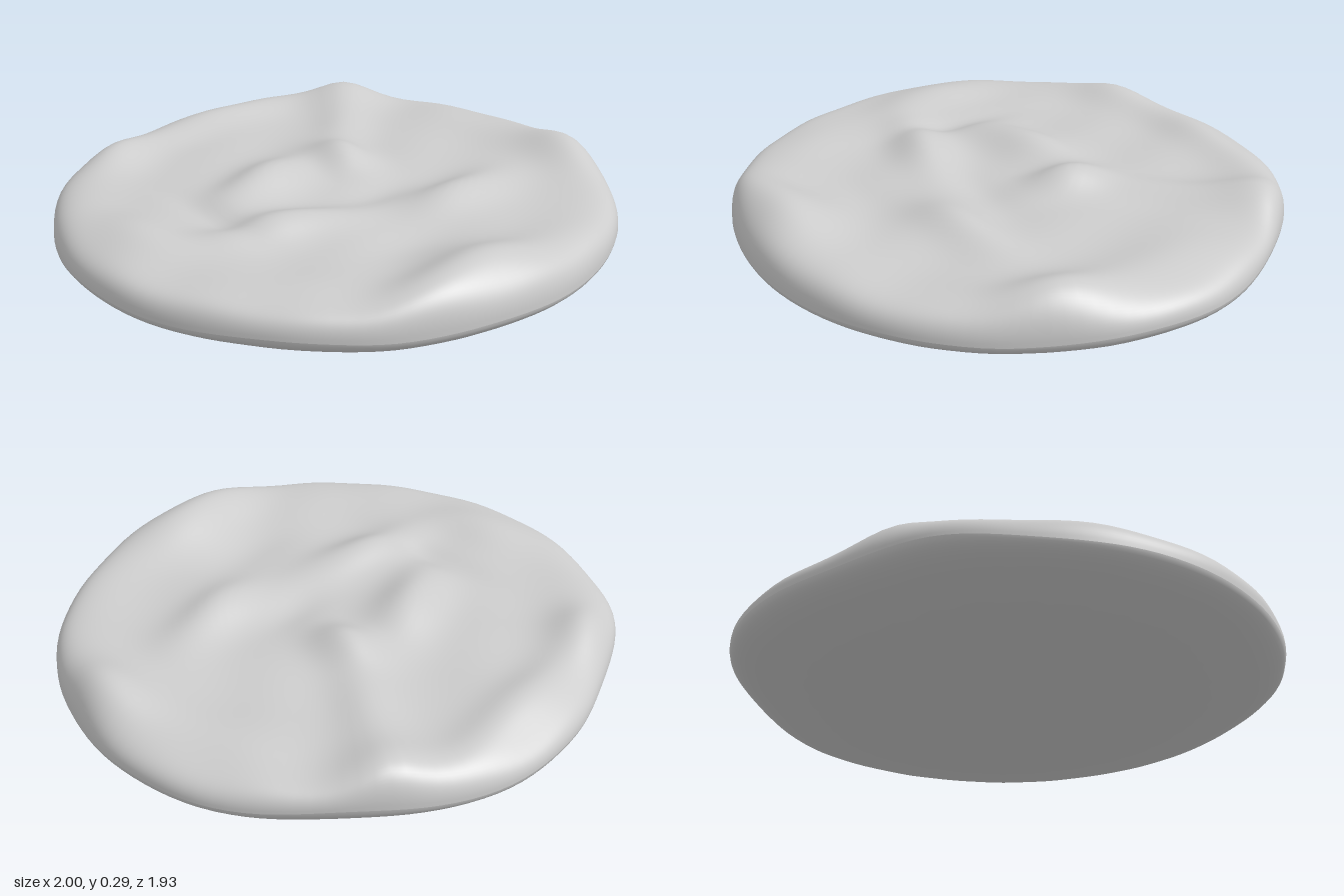
import * as THREE from 'three';

const SEGMENTS = 120;

// Slightly irregular round outline, as x, z points
const outline = new THREE.CatmullRomCurve3([
  [1, -0.03], [0.965, 0.26], [0.83, 0.53], [0.71, 0.68], [0.55, 0.81], [0.3, 0.92], [-0.02, 0.965],
  [-0.31, 0.915], [-0.56, 0.8], [-0.7, 0.68], [-0.82, 0.53], [-0.957, 0.24], [-1, -0.03],
  [-0.945, -0.35], [-0.8, -0.61], [-0.6, -0.81], [-0.235, -0.93], [0.06, -0.97], [0.35, -0.92],
  [0.62, -0.75], [0.81, -0.53], [0.95, -0.27],
].map(([x, z]) => new THREE.Vector3(x, 0, z)), true);

// Mounds and hollows: x, z, length, width, turn, height
const bumps = [
  [0.1, -0.8, 0.36, 0.1, 0.05, 0.045],     // back ridge
  [-0.4, -0.78, 0.15, 0.11, -0.35, 0.05],
  [0.66, -0.64, 0.16, 0.16, 0.78, 0.065],  // raised back corner
  [0.8, -0.1, 0.13, 0.25, 0, 0.02],        // left side ridge
  [0.8, 0.38, 0.14, 0.2, 0.4, 0.08],
  [0.42, -0.4, 0.3, 0.09, -0.78, 0.025],   // diagonal fold
  [-0.2, -0.2, 0.24, 0.11, -0.25, 0.065],  // middle mounds
  [0.16, -0.14, 0.1, 0.14, 0.2, 0.07],
  [-0.38, 0.12, 0.28, 0.1, 0.35, 0.055],
  [0.22, 0.35, 0.22, 0.1, -0.05, 0.055],
  [-0.2, 0.8, 0.32, 0.14, 0.05, 0.08],     // front ridge
  [-0.76, -0.2, 0.13, 0.25, 0, 0.035],     // right side ridge
  [-0.7, 0.42, 0.12, 0.2, -0.5, 0.015],
  [0.05, 0.14, 0.14, 0.08, 0, -0.02],      // hollows
  [-0.5, -0.08, 0.06, 0.22, 0.1, -0.02],
  [-0.16, 0.5, 0.2, 0.1, 0.3, -0.012],
];

function surfaceHeight(x, z) {
  let y = 0.216;
  for (const [bx, bz, length, width, turn, height] of bumps) {
    const dx = x - bx, dz = z - bz, c = Math.cos(turn), s = Math.sin(turn);
    const u = (dx * c + dz * s) / length, v = (dz * c - dx * s) / width;
    y += height * Math.exp(-u * u - v * v);
  }
  return y + 0.006 * Math.sin(13 * x + 5 * z) * Math.sin(11 * z - 4 * x);
}

// How near an angle is to the raised back corner, 0 to 1
const corner = (a) => Math.exp(-(((a + 0.7) / 0.35) ** 2));

// Wavy line where the upper and lower skins meet, lifted at the corner
const seamHeight = (a) => 0.12 + 0.006 * Math.sin(3 * a + 1) + 0.004 * Math.sin(8 * a) + 0.03 * corner(a);

// Grid of rings from the middle (s = 0) to the outline (s = 1)
function skin(rings, heightAt, facingUp) {
  const edge = outline.getSpacedPoints(SEGMENTS);
  const positions = [0, heightAt(0, 0, 0, 0), 0], index = [];
  const addFace = (a, b, c) => index.push(...(facingUp ? [a, c, b] : [a, b, c]));
  for (let i = 1; i <= rings; i++) {
    const s = Math.sin((i / rings) * Math.PI / 2);   // rings crowd towards the rim
    for (let j = 0; j < SEGMENTS; j++) {
      const x = edge[j].x * s, z = edge[j].z * s;
      positions.push(x, heightAt(s, x, z, Math.atan2(edge[j].z, edge[j].x)), z);
      const k = (j + 1) % SEGMENTS;
      const outer = 1 + (i - 1) * SEGMENTS, inner = outer - SEGMENTS;
      if (i === 1) addFace(0, outer + j, outer + k);
      else {
        addFace(inner + j, outer + j, outer + k);
        addFace(inner + j, outer + k, inner + k);
      }
    }
  }
  const geometry = new THREE.BufferGeometry();
  geometry.setAttribute('position', new THREE.Float32BufferAttribute(positions, 3));
  geometry.setIndex(index);
  geometry.computeVertexNormals();
  return geometry;
}

export function createModel() {
  const model = new THREE.Group();
  model.name = 'lumpyDisc';
  const grey = new THREE.MeshStandardMaterial({ color: 0xcccccc });
  grey.name = 'light grey';

  // Lumpy upper skin, rolled over at the rim, steeper at the front and the raised corner
  const top = skin(48, (s, x, z, a) => {
    const seam = seamHeight(a);
    const steepness = 20 + 7 * Math.sin(a) - 4 * Math.cos(a) + 14 * corner(a);
    return seam + (surfaceHeight(x, z) - seam) * Math.pow(Math.max(0, 1 - s ** steepness), 0.45);
  }, true);

  // Shallow underside with radial pleats
  const bottom = skin(24, (s, x, z, a) => {
    const bowl = 0.055 * s ** 3 + (seamHeight(a) - 0.055) * (1 - Math.sqrt(Math.max(0, 1 - s ** 10)));
    return bowl + 0.006 * s * (1 - s) * (1 + Math.sin(30 * a + 3 * s));
  }, false);

  for (const [name, geometry] of [['upperSurface', top], ['underside', bottom]]) {
    const mesh = new THREE.Mesh(geometry, grey);
    mesh.name = name;
    model.add(mesh);
  }
  return model;
}
